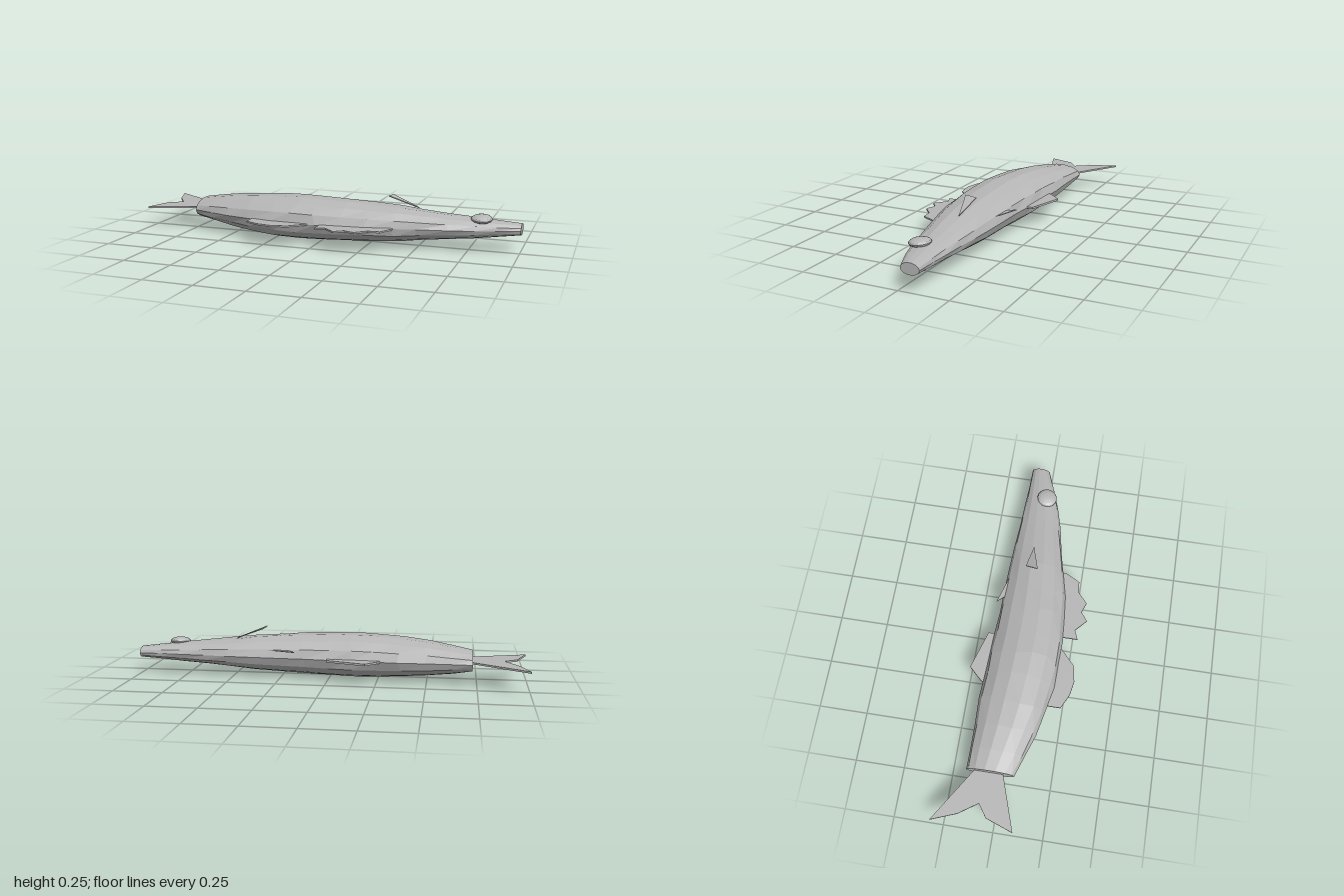
import * as THREE from 'three';

const MID_Y = 0.111;
const SIDES = 14;

export function createModel() {
  const fish = new THREE.Group();
  fish.name = 'fish';
  const grey = new THREE.MeshStandardMaterial({ color: 0xb6b6b6, flatShading: true });
  grey.name = 'fish grey';

  const add = (geometry, name) => {
    const mesh = new THREE.Mesh(geometry, grey);
    mesh.name = name;
    fish.add(mesh);
    return mesh;
  };

  // Flat fin lying in the x-z plane, outline given as [x, z]
  const fin = (name, outline, y, thickness) => {
    const shape = new THREE.Shape(outline.map(([x, z]) => new THREE.Vector2(x, -z)));
    const geometry = new THREE.ExtrudeGeometry(shape, { depth: thickness, bevelEnabled: false });
    geometry.rotateX(-Math.PI / 2);
    const mesh = add(geometry, name);
    mesh.position.y = y;
    return mesh;
  };

  add(bodyGeometry(), 'body');

  // Tail, back and belly fins
  fin('tailFin', [[-0.7, -0.12], [-1, -0.31], [-0.95, -0.18], [-0.885, -0.085],
    [-0.95, -0.04], [-1, 0.1], [-0.7, 0]], 0.108, 0.009);
  fin('backFin', [[-0.28, -0.15], [-0.265, -0.185], [-0.2, -0.252], [0, -0.19], [0, -0.13]], 0.107, 0.01);
  fin('rearBellyFin', [[-0.345, 0.14], [-0.345, 0.24], [-0.27, 0.277], [-0.195, 0.29],
    [-0.11, 0.275], [-0.03, 0.2], [-0.03, 0.15]], 0.107, 0.008);
  fin('frontBellyFin', [[0.035, 0.15], [0.035, 0.275], [0.085, 0.255], [0.145, 0.31], [0.19, 0.275],
    [0.245, 0.295], [0.3, 0.245], [0.36, 0.24], [0.4, 0.165], [0.4, 0.12]], 0.107, 0.008);

  // Small fin near the back
  fin('smallBackFin', [[0.165, -0.176], [0.31, -0.132], [0.22, -0.115]], 0.147, 0.004);

  // Side fin, raised off the flank
  const sideFin = fin('sideFin', [[0, 0], [-0.15, -0.022], [-0.16, 0.041]], 0, 0.005);
  sideFin.position.set(0.49, 0.188, -0.026);
  sideFin.rotation.z = -0.37;

  // Eye
  const eye = add(new THREE.SphereGeometry(1, 16, 8), 'eye');
  eye.scale.set(0.053, 0.021, 0.053);
  eye.position.set(0.81, 0.162, -0.003);
  eye.rotation.x = 0.1;

  return fish;
}

// Body lofted through slightly uneven rings
function bodyGeometry() {
  // x, back z, belly z, half thickness
  const stations = [
    [-0.727, -0.177, 0.064, 0.05], [-0.62, -0.177, 0.102, 0.068], [-0.5, -0.175, 0.14, 0.085],
    [-0.37, -0.177, 0.17, 0.098], [-0.24, -0.172, 0.192, 0.108], [-0.12, -0.168, 0.199, 0.109],
    [0, -0.16, 0.2, 0.106], [0.13, -0.154, 0.192, 0.101], [0.26, -0.15, 0.178, 0.095],
    [0.39, -0.144, 0.154, 0.086], [0.52, -0.136, 0.124, 0.073], [0.65, -0.128, 0.094, 0.061],
    [0.78, -0.12, 0.062, 0.05], [0.89, -0.115, 0.026, 0.039], [1, -0.111, -0.015, 0.028],
  ];
  let seed = 7;
  const jitter = () => {
    seed = (seed * 16807) % 2147483647;
    return seed / 2147483647 - 0.5;
  };
  const positions = [];
  const index = [];
  const last = stations.length - 1;

  stations.forEach(([x, back, belly, half], i) => {
    const inner = i > 0 && i < last ? 1 : 0;
    for (let j = 0; j < SIDES; j++) {
      const a = (j / SIDES) * Math.PI * 2;
      const r = 1 + jitter() * 0.035 * inner;
      positions.push(
        x + jitter() * 0.03 * inner,
        MID_Y + Math.sin(a) * half * r * 1.02,
        (back + belly) / 2 + Math.cos(a) * (belly - back) / 2 * r,
      );
    }
  });
  for (let i = 0; i < last; i++) {
    for (let j = 0; j < SIDES; j++) {
      const k = (j + 1) % SIDES;
      const a = i * SIDES + j, b = a + SIDES, c = (i + 1) * SIDES + k, d = i * SIDES + k;
      index.push(a, b, c, a, c, d);
    }
  }
  // Flat ends
  const end = last * SIDES;
  for (let j = 1; j < SIDES - 1; j++) {
    index.push(0, j, j + 1, end, end + j + 1, end + j);
  }
  const geometry = new THREE.BufferGeometry();
  geometry.setAttribute('position', new THREE.Float32BufferAttribute(positions, 3));
  geometry.setIndex(index);
  const flat = geometry.toNonIndexed();
  flat.computeVertexNormals();
  return flat;
}
